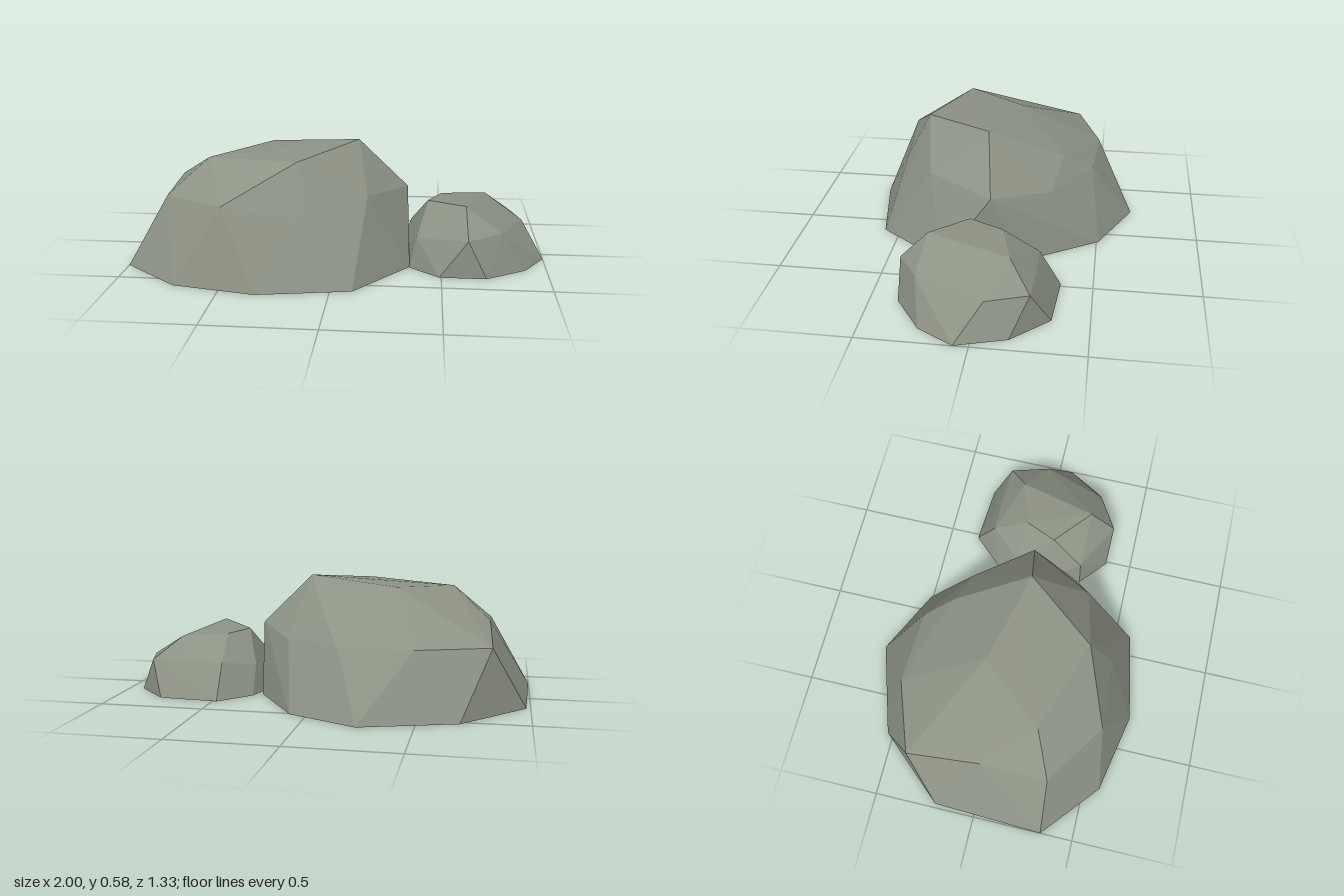
import * as THREE from 'three';
import { ConvexGeometry } from 'three/addons/geometries/ConvexGeometry.js';

const stone = new THREE.MeshStandardMaterial({ color: 0x8c9284, flatShading: true });

// A faceted boulder: the hull of a ground outline [x, z] and upper corners [x, y, z]
function boulder(name, outline, corners) {
  const points = [
    ...outline.map(([x, z]) => new THREE.Vector3(x, 0, z)),
    ...corners.map((c) => new THREE.Vector3(...c)),
  ];
  const mesh = new THREE.Mesh(new ConvexGeometry(points), stone);
  mesh.name = name;
  return mesh;
}

export function createModel() {
  const group = new THREE.Group();
  group.name = 'rocks';

  group.add(boulder('largeRock',
    [[-1, 0.34], [-0.72, 0.58], [-0.33, 0.66], [0.1, 0.58], [0.35, 0.24],
      [0.3, -0.16], [0.08, -0.51], [-0.25, -0.67], [-0.69, -0.53], [-0.98, -0.2]],
    [
      // crown
      [0.09, 0.58, 0.04], [-0.17, 0.54, 0.38], [-0.61, 0.52, 0.23], [-0.35, 0.54, -0.08],
      // shoulders
      [-0.8, 0.35, 0.32], [-0.5, 0.36, 0.52], [-0.15, 0.31, 0.5], [0.15, 0.37, 0.32],
      [0.33, 0.34, 0], [0.14, 0.3, -0.27], [-0.05, 0.41, -0.32], [-0.13, 0.31, -0.46],
      [-0.48, 0.31, -0.48], [-0.82, 0.31, -0.36], [-0.8, 0.38, 0],
    ]));

  group.add(boulder('smallRock',
    [[1, 0.07], [0.9, 0.24], [0.71, 0.37], [0.49, 0.37], [0.35, 0.25],
      [0.29, 0], [0.34, -0.2], [0.48, -0.35], [0.77, -0.33], [0.93, -0.16]],
    [
      // crown
      [0.61, 0.31, 0.24], [0.43, 0.29, 0.08], [0.5, 0.285, -0.08], [0.72, 0.275, -0.14],
      // shoulders
      [0.62, 0.18, 0.37], [0.78, 0.19, 0.27], [0.9, 0.165, -0.05], [0.84, 0.17, -0.24],
      [0.66, 0.17, -0.25], [0.48, 0.17, -0.25], [0.35, 0.14, -0.1], [0.38, 0.15, 0.24],
    ]));

  return group;
}
